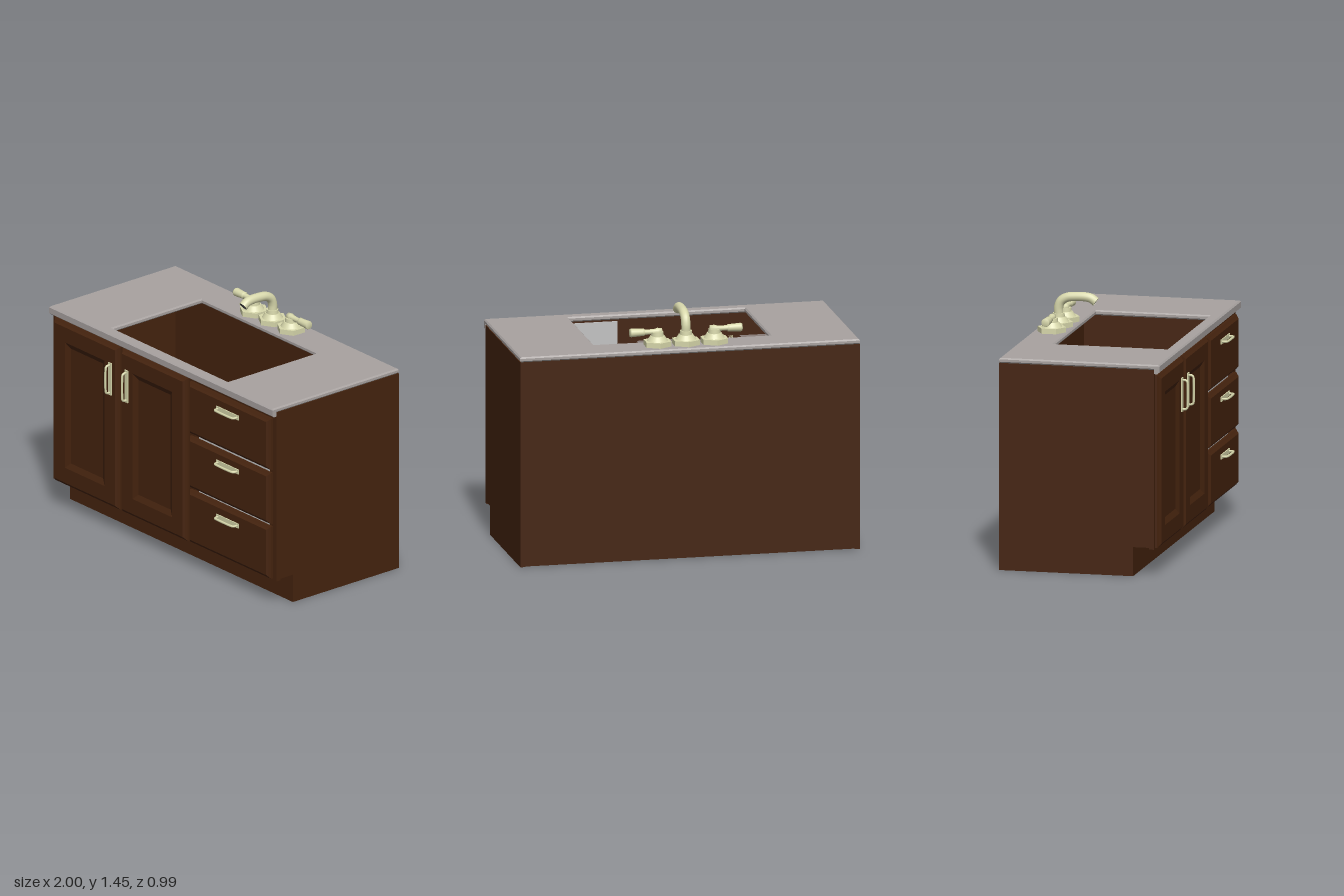
import * as THREE from 'three';

const mat = (name, color, side = THREE.FrontSide) => {
  const m = new THREE.MeshStandardMaterial({ color, side });
  m.name = name;
  return m;
};

export function createModel() {
  const wood = mat('dark wood', 0x45230e, THREE.DoubleSide);
  const stone = mat('grey stone', 0xa8a2a0);
  const liner = mat('pale grey liner', 0xc2c2c2);
  const brass = mat('pale brass', 0xd8d8ac, THREE.DoubleSide);
  const dark = mat('dark grey', 0x505050);

  const root = new THREE.Group();
  root.name = 'vanityCabinet';

  const add = (name, geo, material, parent = root, x = 0, y = 0, z = 0) => {
    const m = new THREE.Mesh(geo, material);
    m.name = name;
    m.position.set(x, y, z);
    parent.add(m);
    return m;
  };
  // box given by its minimum and maximum corners
  const slab = (name, material, x0, x1, y0, y1, z0, z1) =>
    add(name, new THREE.BoxGeometry(x1 - x0, y1 - y0, z1 - z0), material, root,
      (x0 + x1) / 2, (y0 + y1) / 2, (z0 + z1) / 2);
  const rect = (P, x0, x1, y0, y1) => {
    const p = new P();
    p.moveTo(x0, y0); p.lineTo(x1, y0); p.lineTo(x1, y1); p.lineTo(x0, y1);
    p.closePath();
    return p;
  };

  // Side panels with the toe notch at the lower front
  const profile = new THREE.Shape([
    [-0.39, 0.17], [-0.39, 1.21], [0.494, 1.21], [0.494, 0], [-0.27, 0], [-0.27, 0.17],
  ].map(([a, b]) => new THREE.Vector2(a, b)));
  for (const x of [-0.998, 0.968]) {
    const g = new THREE.ExtrudeGeometry(profile, { depth: 0.03, bevelEnabled: false });
    g.rotateY(Math.PI / 2);
    add('sidePanel', g, wood, root, x);
  }
  slab('backPanel', wood, -0.968, 0.968, 0.005, 1.21, -0.488, -0.468);
  slab('bottomPanel', wood, -0.968, 0.968, 0.002, 0.02, -0.488, 0.27);
  slab('toeBoard', wood, -0.998, 0.998, 0, 0.17, 0.27, 0.297);
  slab('frontFloor', wood, -0.968, 0.968, 0.17, 0.185, 0.27, 0.39);

  // Face frame with two door openings and a drawer opening
  const frame = rect(THREE.Shape, -0.998, 0.998, 0.16, 1.21);
  for (const [x0, x1] of [[-0.95, -0.41], [-0.35, 0.2], [0.27, 0.94]])
    frame.holes.push(rect(THREE.Path, x0, x1, 0.2, 1.14));
  add('faceFrame', new THREE.ExtrudeGeometry(frame, { depth: 0.03, bevelEnabled: false }),
    wood, root, 0, 0, 0.39);
  slab('drawerLiner', liner, 0.23, 0.965, 0.19, 1.2, 0.383, 0.389);

  // Door or drawer face lofted from nested rectangles [inset, z]
  const lofted = (w, h, rings) => {
    const pos = [];
    const corners = rings.map(([i, z]) => {
      const a = w / 2 - i, b = h / 2 - i;
      return [[-a, -b, z], [a, -b, z], [a, b, z], [-a, b, z]];
    });
    const quad = (a, b, c, d) => pos.push(...a, ...b, ...c, ...a, ...c, ...d);
    for (let r = 0; r + 1 < corners.length; r++)
      for (let i = 0; i < 4; i++) {
        const j = (i + 1) % 4, o = corners[r], n = corners[r + 1];
        quad(o[i], o[j], n[j], n[i]);
      }
    quad(...corners[corners.length - 1]);
    const g = new THREE.BufferGeometry();
    g.setAttribute('position', new THREE.Float32BufferAttribute(pos, 3));
    g.computeVertexNormals();
    return g;
  };
  const edge = [[0, 0], [0, 0.012], [0.012, 0.022], [0.022, 0.032]];
  const sunk = [...edge, [0.115, 0.032], [0.148, 0.015]];

  // Bow handle on a slim backing plate, built along x
  const handle = (x, y, upright) => {
    const g = new THREE.Group();
    g.name = 'handle';
    const path = new THREE.CatmullRomCurve3([
      [-0.085, 0], [-0.085, 0.022], [-0.078, 0.032], [-0.06, 0.035],
      [0.06, 0.035], [0.078, 0.032], [0.085, 0.022], [0.085, 0],
    ].map(([a, b]) => new THREE.Vector3(a, 0, b)), false, 'centripetal');
    add('handleBow', new THREE.TubeGeometry(path, 40, 0.007, 8), brass, g);
    add('handlePlate', new THREE.BoxGeometry(0.2, 0.028, 0.006), brass, g, 0, 0, 0.003);
    g.position.set(x, y, 0.452);
    if (upright) g.rotation.z = Math.PI / 2;
    root.add(g);
  };

  for (const [x, hx] of [[-0.68, -0.452], [-0.075, -0.303]]) {
    add('door', lofted(0.585, 1.01, sunk), wood, root, x, 0.67, 0.42);
    handle(hx, 0.965, true);
  }
  for (const [y, h, hy] of [[1.005, 0.32, 1.09], [0.668, 0.318, 0.755], [0.332, 0.325, 0.418]]) {
    add('drawerFront', lofted(0.725, h, edge), wood, root, 0.603, y, 0.42);
    handle(0.603, hy, false);
  }

  // Countertop with basin cutout and a front lip
  const top = rect(THREE.Shape, -1, 1, -0.452, 0.494);
  top.holes.push(rect(THREE.Path, -0.517, 0.517, -0.379, 0.287));
  const counter = new THREE.ExtrudeGeometry(top, {
    depth: 0.014, bevelEnabled: true, bevelSegments: 1,
    bevelSize: 0.008, bevelThickness: 0.008, bevelOffset: -0.008,
  });
  counter.rotateX(-Math.PI / 2);
  add('countertop', counter, stone, root, 0, 1.218, 0);
  const lip = new THREE.Shape([
    [-0.452, 1.228], [-0.421, 1.228], [-0.421, 1.187], [-0.44, 1.187], [-0.452, 1.197],
  ].map(([a, b]) => new THREE.Vector2(a, b)));
  const lipGeo = new THREE.ExtrudeGeometry(lip, { depth: 2, bevelEnabled: false });
  lipGeo.rotateY(Math.PI / 2);
  add('countertopLip', lipGeo, stone, root, -1);

  // Drain ring below the cutout
  const ring = new THREE.TorusGeometry(0.049, 0.004, 6, 32);
  ring.rotateX(Math.PI / 2);
  add('drainRing', ring, brass, root, 0, 0.8, 0.045);

  // Faucet: three hexagonal bases, two levers and a curved spout
  const hex = (r0, r1, h) => {
    const g = new THREE.CylinderGeometry(r0, r1, h, 6).toNonIndexed();
    g.computeVertexNormals();
    return g;
  };
  const faucet = new THREE.Group();
  faucet.name = 'faucet';
  faucet.position.set(0, 1.24, -0.383);
  root.add(faucet);
  for (const x of [-0.167, 0, 0.167]) {
    add('hexBase', hex(0.084, 0.084, 0.03), brass, faucet, x, 0.015);
    add('baseCollar', new THREE.CylinderGeometry(0.042, 0.06, 0.028, 24), brass, faucet, x, 0.044);
    add('baseStem', new THREE.CylinderGeometry(0.034, 0.036, 0.025, 24), brass, faucet, x, 0.068);
  }
  for (const s of [-1, 1]) {
    // lever profile [radius, distance from the stem]
    const g = new THREE.LatheGeometry([
      [0, -0.03], [0.02, -0.025], [0.022, 0], [0.016, 0.02], [0.015, 0.075], [0.022, 0.08],
      [0.021, 0.09], [0.025, 0.155], [0.022, 0.163], [0, 0.163],
    ].map(([a, b]) => new THREE.Vector2(a, b)), 20);
    g.rotateZ(-s * Math.PI / 2);
    add('lever', g, brass, faucet, s * 0.167, 0.082);
  }
  const spout = new THREE.CatmullRomCurve3([
    [0.06, 0], [0.115, 0], [0.15, 0.015], [0.172, 0.05], [0.179, 0.1],
    [0.179, 0.16], [0.172, 0.192], [0.153, 0.22],
  ].map(([y, z]) => new THREE.Vector3(0, y, z)));
  add('spout', new THREE.TubeGeometry(spout, 40, 0.027, 16), brass, faucet);
  const tip = add('spoutOpening', new THREE.CircleGeometry(0.026, 16), dark, faucet);
  const end = spout.getPoint(1), dir = spout.getTangent(1);
  tip.position.copy(end).addScaledVector(dir, -0.002);
  tip.quaternion.setFromUnitVectors(new THREE.Vector3(0, 0, 1), dir);

  return root;
}
